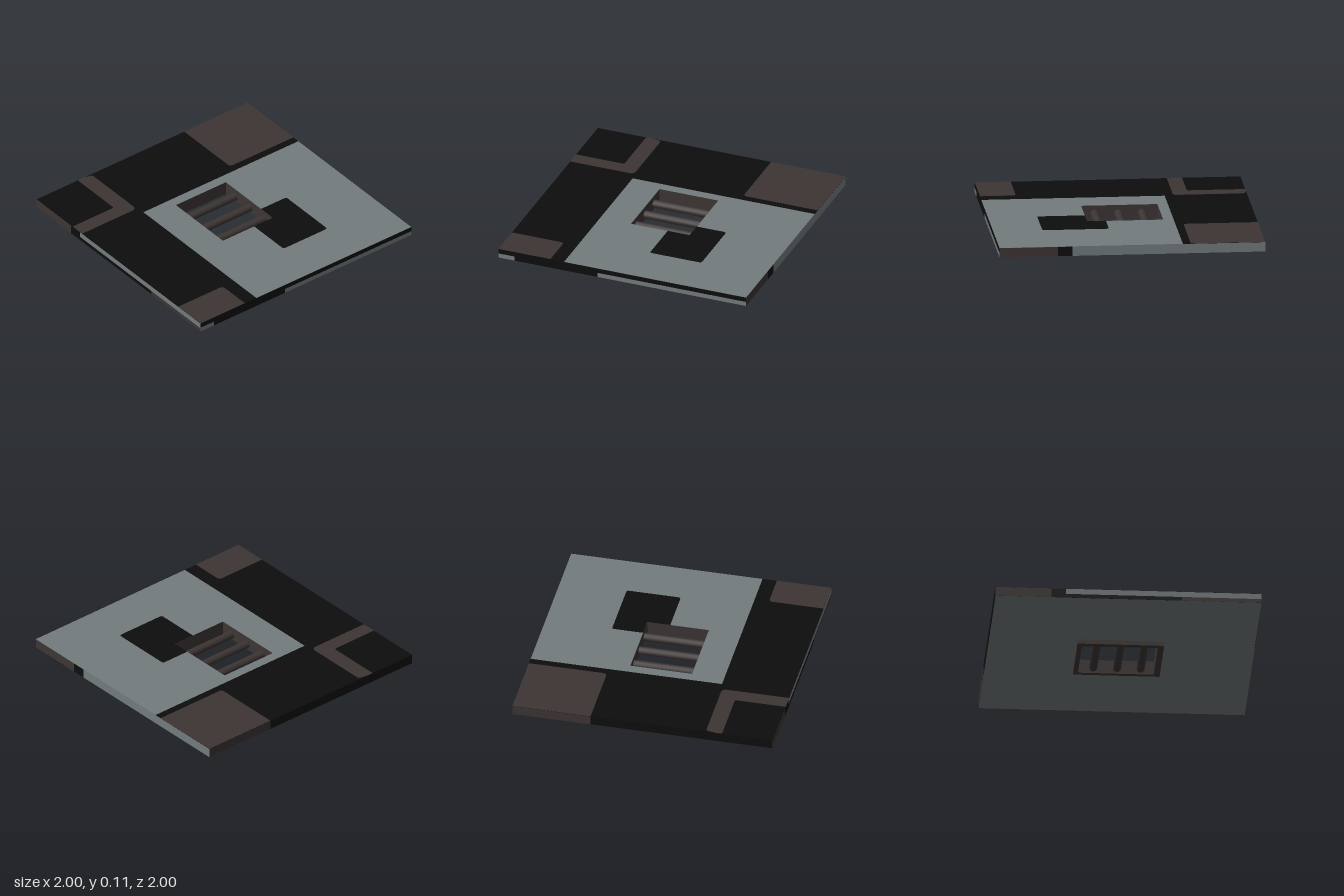
import * as THREE from 'three';

const mat = (name, color) => new THREE.MeshStandardMaterial({ name, color });

// Points are [x, z, cornerRadius?]; corners with a radius are rounded
function outline(points, Type = THREE.Shape) {
  const path = new Type();
  const n = points.length;
  points.forEach(([x, z, r = 0], i) => {
    const toward = ([px, pz]) => {
      const d = Math.hypot(px - x, pz - z);
      return [x + (px - x) * r / d, z + (pz - z) * r / d];
    };
    const a = toward(points[(i + n - 1) % n]);
    const b = toward(points[(i + 1) % n]);
    if (i === 0) path.moveTo(...a); else path.lineTo(...a);
    if (r) path.quadraticCurveTo(x, z, ...b);
  });
  path.closePath();
  return path;
}

const rect = (x0, x1, z0, z1) => [[x0, z0], [x1, z0], [x1, z1], [x0, z1]];

// Flat slab between two heights, with an optional opening
function slab(name, material, points, y0, y1, hole) {
  const shape = outline(points);
  if (hole) shape.holes.push(outline(hole, THREE.Path));
  const geo = new THREE.ExtrudeGeometry(shape, { depth: y1 - y0, bevelEnabled: false, curveSegments: 5 });
  geo.rotateX(Math.PI / 2).translate(0, y1, 0);
  const mesh = new THREE.Mesh(geo, material);
  mesh.name = name;
  return mesh;
}

export function createModel() {
  const grey = mat('slate grey', 0x737b7d);
  const black = mat('black', 0x0d0d0d);
  const brown = mat('dark brown', 0x3c3534);
  const model = new THREE.Group();
  model.name = 'floorPanelWithVent';

  const BASE = 0.035, BODY = 0.107, PAINT = 0.1085, TOP = 0.11;
  const opening = rect(-0.3, 0.27, -0.25, 0.22);
  const cut = rect(-0.302, 0.272, -0.252, 0.222);

  // Panel body
  model.add(slab('panel', grey, rect(-0.999, 0.999, -0.999, 0.999), BASE, BODY, cut));
  model.add(slab('greyTop', grey, rect(-0.38, 1, -1, 0.47), BODY, PAINT, cut));

  // Black top fields
  model.add(slab('blackBorder', black,
    [[-1, -1], [-0.38, -1], [-0.38, 0.47], [1, 0.47], [1, 1], [-1, 1]], BODY, PAINT));
  model.add(slab('blackPatch', black,
    [[0.13, -0.49, 0.02], [0.63, -0.49, 0.02], [0.63, -0.075, 0.02], [0.272, -0.075],
      [0.272, -0.252], [0.13, -0.252]], PAINT, TOP));

  // Brown top fields
  model.add(slab('brownSquare', brown,
    [[-1, -1], [-0.44, -1], [-0.44, -0.4, 0.03], [-1, -0.4]], PAINT, TOP));
  model.add(slab('brownAngle', brown,
    [[-0.985, 0.485, 0.02], [-0.445, 0.485, 0.04], [-0.445, 1], [-0.56, 1],
      [-0.56, 0.61, 0.02], [-1, 0.61], [-1, 0.56]], PAINT, TOP));
  model.add(slab('brownCorner', brown,
    [[0.73, 0.58, 0.03], [1, 0.58], [1, 1], [0.73, 1]], PAINT, TOP));

  // Painted edge strips: side, start, end, bottom, top, colour
  const strips = [
    ['front', -1, -0.58, BASE, BODY, brown],
    ['front', -0.58, -0.47, BASE, BODY, black],
    ['front', -0.47, 1, 0.065, BODY, grey],
    ['front', -0.47, 0.4, BASE, 0.065, black],
    ['front', 0.4, 1, BASE, 0.065, brown],
    ['back', 0.56, 1, BASE, BODY, brown],
    ['back', 0.45, 0.56, BASE, BODY, black],
    ['back', -1, 0.45, BASE, BODY, grey],
    ['right', -1, 1, 0.07, BODY, black],
    ['right', 0.87, 1, BASE, 0.07, grey],
    ['right', 0.2, 0.87, BASE, 0.07, black],
    ['right', -1, 0.2, BASE, 0.07, grey],
    ['left', -1, -0.4, BASE, BODY, brown],
    ['left', -0.4, 1, BASE, BODY, black],
  ];
  for (const [side, a, b, y0, y1, material] of strips) {
    const alongX = side === 'front' || side === 'back';
    const sign = side === 'front' || side === 'right' ? 1 : -1;
    const geo = alongX
      ? new THREE.BoxGeometry(b - a, y1 - y0, 0.002)
      : new THREE.BoxGeometry(0.002, y1 - y0, b - a);
    const strip = new THREE.Mesh(geo, material);
    const mid = (a + b) / 2, out = sign * 0.999;
    strip.position.set(alongX ? mid : out, (y0 + y1) / 2, alongX ? out : mid);
    strip.name = `${side}EdgeStrip`;
    model.add(strip);
  }

  // Vent: frame below, lining of the opening and three round bars
  const vent = new THREE.Group();
  vent.name = 'vent';
  vent.add(slab('ventFrame', brown, rect(-0.335, 0.315, -0.285, 0.265), 0, BASE, opening));
  vent.add(slab('ventLining', brown, cut, BASE, PAINT, opening));
  for (const x of [-0.185, -0.007, 0.17]) {
    const bar = new THREE.Mesh(new THREE.CylinderGeometry(0.031, 0.031, 0.472, 12), brown);
    bar.rotation.x = Math.PI / 2;
    bar.position.set(x, 0.045, -0.015);
    bar.name = 'ventBar';
    vent.add(bar);
  }
  model.add(vent);
  return model;
}
